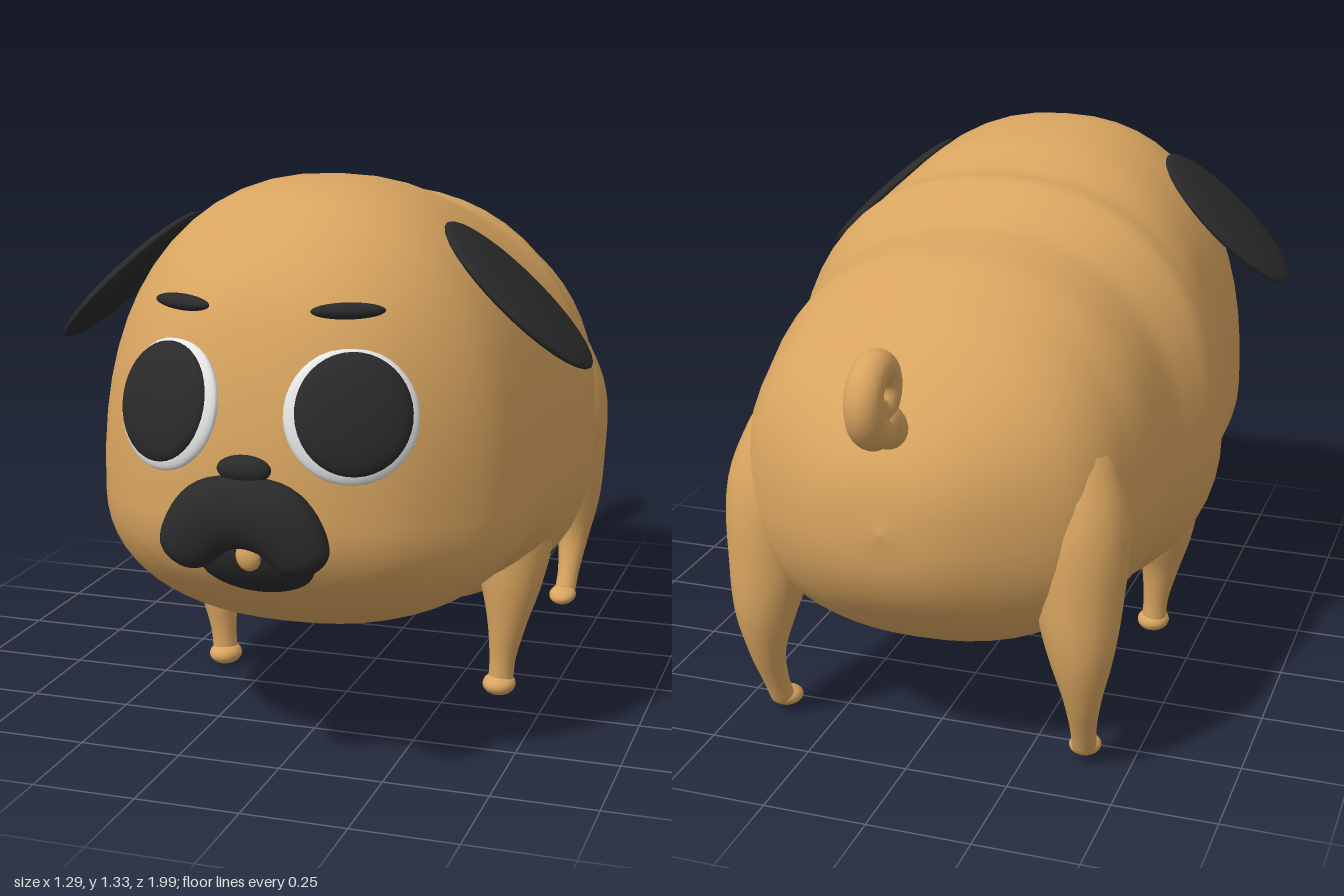
import * as THREE from 'three';

const fawn = new THREE.MeshStandardMaterial({ color: 0xd9a560 });
fawn.name = 'fawn';
const charcoal = new THREE.MeshStandardMaterial({ color: 0x2a2a2a });
charcoal.name = 'charcoal';
const white = new THREE.MeshStandardMaterial({ color: 0xe6e6e6 });
white.name = 'white';

const add = (parent, name, geometry, material) => {
  const mesh = new THREE.Mesh(geometry, material);
  mesh.name = name;
  parent.add(mesh);
  return mesh;
};

// Smooth skin over rings that run counterclockwise around the direction of travel
function loft(rings) {
  const n = rings[0].length, index = [];
  for (let i = 0; i < rings.length - 1; i++) {
    for (let j = 0; j < n; j++) {
      const k = (j + 1) % n, a = i * n, b = a + n;
      index.push(a + j, a + k, b + j, a + k, b + k, b + j);
    }
  }
  const g = new THREE.BufferGeometry().setFromPoints(rings.flat());
  g.setIndex(index);
  g.computeVertexNormals();
  return g;
}

// Round-ended tube through [x, y, z, radius] points
function limb(points, cap = 0.08, steps = 48, sides = 20) {
  const path = new THREE.CatmullRomCurve3(points.map(p => new THREE.Vector3(p[0], p[1], p[2])), false, 'catmullrom');
  const radii = new THREE.SplineCurve(points.map((p, i) => new THREE.Vector2(i, p[3])));
  const rings = [];
  const up = new THREE.Vector3(0, 0, 1), side = new THREE.Vector3(1, 0, 0);
  const planar = points.every(p => p[0] === 0);
  for (let i = 0; i <= steps; i++) {
    // steps bunch up at both ends to round them
    const u = (1 - Math.cos(Math.PI * i / steps)) / 2;
    const c = path.getPoint(u), t = path.getTangent(u);
    const k = Math.min(1, Math.min(u, 1 - u) / cap);
    const r = radii.getPoint(u).y * Math.sqrt(Math.max(0, 1 - (1 - k) ** 2));
    const a = new THREE.Vector3().crossVectors(planar ? side : up, t).normalize();
    const b = new THREE.Vector3().crossVectors(t, a);
    rings.push(Array.from({ length: sides }, (_, j) => {
      const q = j / sides * Math.PI * 2;
      return c.clone().addScaledVector(a, r * Math.cos(q)).addScaledVector(b, r * Math.sin(q));
    }));
  }
  return loft(rings);
}

function ellipsoid(parent, name, material, position, radii, rotation = [0, 0, 0]) {
  const mesh = add(parent, name, new THREE.SphereGeometry(1, 32, 20), material);
  mesh.position.set(...position);
  mesh.scale.set(...radii);
  mesh.rotation.set(...rotation);
  return mesh;
}

// Head and body: z, half width, height of widest line, bottom, top
const sections = [
  [-0.875, 0, 0.65, 0.65, 0.65], [-0.855, 0.13, 0.65, 0.53, 0.77], [-0.8, 0.25, 0.64, 0.43, 0.87],
  [-0.7, 0.39, 0.63, 0.33, 0.98], [-0.6, 0.45, 0.62, 0.275, 1.06], [-0.5, 0.475, 0.62, 0.25, 1.11],
  [-0.4, 0.495, 0.62, 0.22, 1.15], [-0.3, 0.5, 0.62, 0.2, 1.165], [-0.2, 0.505, 0.62, 0.185, 1.18],
  [-0.12, 0.535, 0.62, 0.178, 1.22], [-0.05, 0.56, 0.62, 0.178, 1.26], [0.03, 0.562, 0.62, 0.182, 1.262],
  [0.1, 0.55, 0.62, 0.2, 1.28], [0.2, 0.53, 0.61, 0.255, 1.31], [0.3, 0.523, 0.6, 0.295, 1.325],
  [0.4, 0.52, 0.6, 0.312, 1.33], [0.5, 0.51, 0.6, 0.312, 1.32], [0.6, 0.485, 0.6, 0.315, 1.29],
  [0.7, 0.425, 0.61, 0.345, 1.225], [0.8, 0.33, 0.62, 0.42, 1.12], [0.86, 0.23, 0.63, 0.49, 0.98],
  [0.893, 0.125, 0.65, 0.56, 0.82], [0.905, 0, 0.66, 0.66, 0.66],
];

function bodyGeometry() {
  const spline = pick => new THREE.CatmullRomCurve3(sections.map(pick), false, 'catmullrom');
  const wide = spline(s => new THREE.Vector3(s[0], s[1], s[2]));
  const tall = spline(s => new THREE.Vector3(s[3], s[4], 0));
  const power = 2 / 2.3, steps = 110, sides = 56, rings = [];
  for (let i = 0; i <= steps; i++) {
    const w = wide.getPoint(i / steps), h = tall.getPoint(i / steps);
    rings.push(Array.from({ length: sides }, (_, j) => {
      const q = j / sides * Math.PI * 2, c = Math.cos(q), s = Math.sin(q);
      const x = Math.sign(c) * Math.abs(c) ** power * Math.max(0, w.y);
      const y = w.z + Math.abs(s) ** power * (s > 0 ? h.y - w.z : h.x - w.z);
      return new THREE.Vector3(x, y, w.x);
    }));
  }
  return loft(rings);
}

const frontLeg = [
  [0.37, 0.58, 0.09, 0.12], [0.39, 0.41, 0.105, 0.105], [0.395, 0.3, 0.125, 0.08],
  [0.39, 0.2, 0.138, 0.052], [0.38, 0.1, 0.14, 0.034], [0.375, 0.02, 0.14, 0.032],
];
const hindLeg = [
  [0.33, 0.82, -0.55, 0.09], [0.372, 0.62, -0.6, 0.117], [0.385, 0.43, -0.63, 0.1],
  [0.395, 0.31, -0.645, 0.076], [0.398, 0.2, -0.64, 0.046], [0.393, 0.1, -0.61, 0.031], [0.388, 0.03, -0.58, 0.03],
];

export function createModel() {
  const dog = new THREE.Group();
  dog.name = 'dog';
  add(dog, 'body', bodyGeometry(), fawn);

  for (const s of [1, -1]) {
    const label = s > 0 ? 'left' : 'right';
    const mirror = points => points.map(([x, ...rest]) => [s * x, ...rest]);

    // Legs and paws
    add(dog, label + 'FrontLeg', limb(mirror(frontLeg), 0.06), fawn);
    add(dog, label + 'HindLeg', limb(mirror(hindLeg), 0.06), fawn);
    ellipsoid(dog, label + 'FrontPaw', fawn, [s * 0.373, 0.028, 0.145], [0.042, 0.028, 0.046]);
    ellipsoid(dog, label + 'HindPaw', fawn, [s * 0.386, 0.037, -0.566], [0.038, 0.024, 0.046], [0.15, 0, 0]);

    // Flat ear discs
    ellipsoid(dog, label + 'Ear', charcoal, [s * 0.475, 1.08, 0.437], [0.231, 0.027, 0.165], [0, 0, -s * 0.75]);

    // Eyes
    const eye = new THREE.Group();
    eye.name = label + 'Eye';
    eye.position.set(s * 0.21, 0.87, 0.842);
    eye.lookAt(s * 0.66, 1.15, 1.842);
    ellipsoid(eye, 'eyeWhite', white, [0, 0, 0], [0.147, 0.147, 0.032]);
    ellipsoid(eye, 'pupil', charcoal, [s * 0.003, 0.004, 0.015], [0.128, 0.133, 0.032]);
    dog.add(eye);

    ellipsoid(dog, label + 'Brow', charcoal, [s * 0.19, 1.09, 0.803], [0.081, 0.018, 0.022], [0, s * 0.42, 0]);
  }

  // Muzzle, drooping on both sides
  const muzzle = add(dog, 'muzzle', limb([
    [-0.145, 0.54, 0, 0.055], [-0.118, 0.605, 0, 0.074], [-0.07, 0.655, 0, 0.083], [0, 0.668, 0, 0.08],
    [0.07, 0.655, 0, 0.083], [0.118, 0.605, 0, 0.074], [0.145, 0.54, 0, 0.055],
  ], 0.09), charcoal);
  muzzle.scale.z = 0.64;
  muzzle.position.z = 0.945;
  ellipsoid(dog, 'nose', charcoal, [0, 0.762, 0.938], [0.061, 0.031, 0.028]);
  ellipsoid(dog, 'chin', charcoal, [0, 0.53, 0.872], [0.133, 0.08, 0.036], [0.55, 0, 0]);
  ellipsoid(dog, 'tongue', fawn, [0, 0.565, 0.916], [0.03, 0.036, 0.02]);

  // Curled tail
  const curl = Array.from({ length: 15 }, (_, i) => {
    const f = i / 14, a = -2.0 + f * 8.6, r = 0.083 - 0.055 * f;
    return [0, 0.98 + r * Math.sin(a), -0.875 - r * Math.cos(a), 0.045 - 0.012 * f];
  });
  add(dog, 'tail', limb([[0, 0.84, -0.78, 0.05], ...curl], 0.05, 90), fawn);

  return dog;
}
